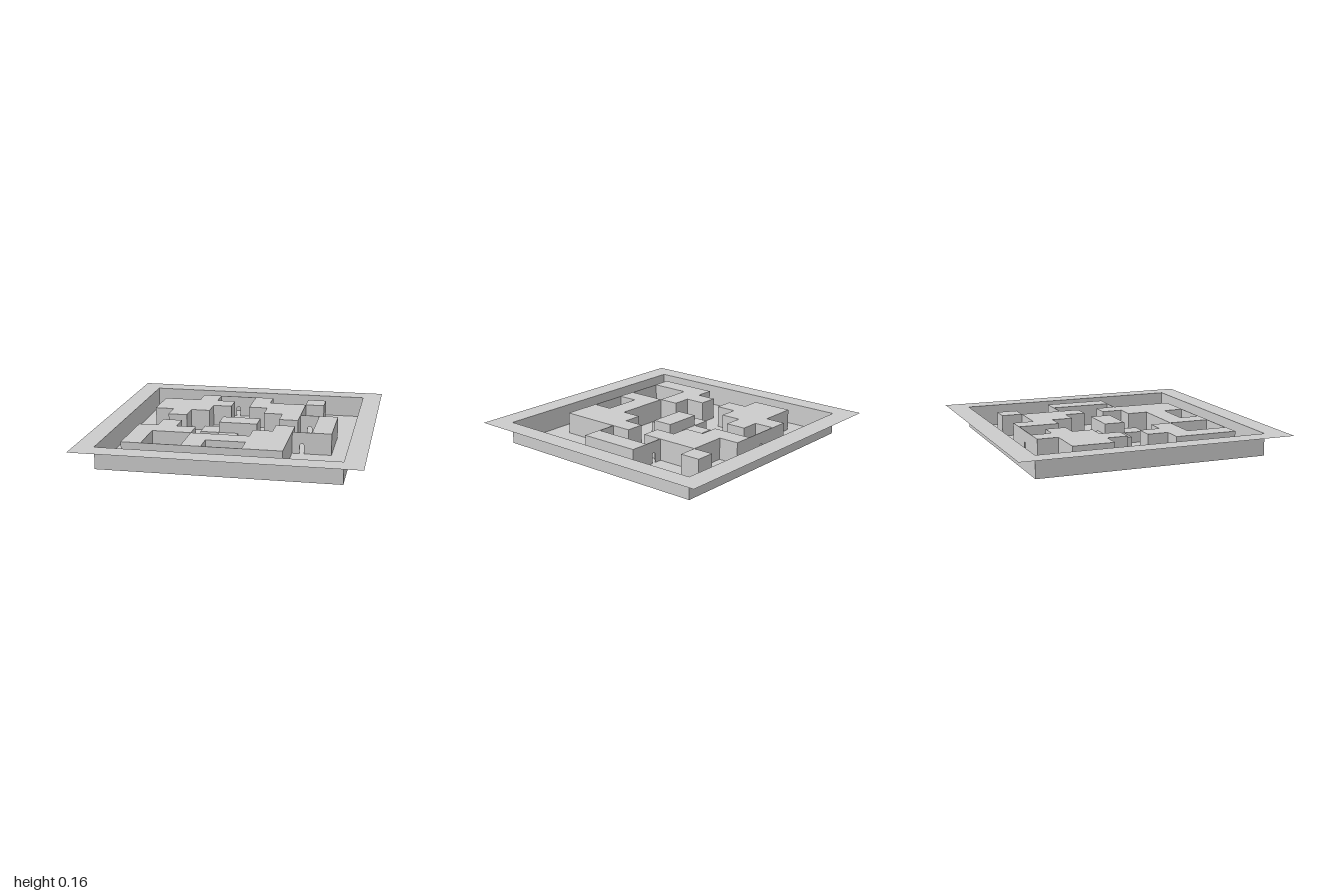
import * as THREE from 'three';
import { mergeGeometries } from 'three/addons/utils/BufferGeometryUtils.js';

// Plan of the tray, one character per cell, back row first
const PLAN = [
  'RRRRRRRRRRRRRR',
  'R............R',
  'R...#..#..#..R',
  'R.####.###...R',
  'R.###...##...R',
  'R..#..s..#.#.R',
  'R....sbb...#.R',
  'R..#..s..#.#.R',
  'R.###...##...R',
  'R.#..#####...R',
  'R.#..#..##...R',
  'R............R',
  'RRRRRRRRRRRRRR',
];
const TOP = 0.16;
const PARTS = {
  R: { name: 'rimAndOuterWall', y: TOP },
  '.': { name: 'floor', y: 0 },
  '#': { name: 'raisedBlocks', y: TOP },
  b: { name: 'centreBar', y: TOP },
  s: { name: 'lowSteps', y: 0.08 },
};
const COLS = PLAN[0].length, ROWS = PLAN.length;
const DX = 2 / COLS, DZ = 2 / ROWS;
const material = new THREE.MeshStandardMaterial({
  color: 0xcccccc, side: THREE.DoubleSide, flatShading: true,
});

// Upward-facing cap of one cell
function cap(x, y, z) {
  return new THREE.PlaneGeometry(DX, DZ).rotateX(-Math.PI / 2).translate(x, y, z);
}

// Vertical face on the cell side that points along (dx, dz)
function wall(x, z, dx, dz, low, high) {
  return new THREE.PlaneGeometry(dx ? DZ : DX, high - low)
    .rotateY(Math.atan2(dx, dz))
    .translate(x + dx * DX / 2, (low + high) / 2, z + dz * DZ / 2);
}

// All cells of one kind, with walls down to any lower neighbour
function cells(kind) {
  const { y } = PARTS[kind], faces = [];
  for (let r = 0; r < ROWS; r++) for (let c = 0; c < COLS; c++) {
    if (PLAN[r][c] !== kind) continue;
    const x = -1 + (c + 0.5) * DX, z = -1 + (r + 0.5) * DZ;
    faces.push(cap(x, y, z));
    for (const [dx, dz] of [[1, 0], [-1, 0], [0, 1], [0, -1]]) {
      const next = PLAN[r + dz]?.[c + dx];
      if (next && PARTS[next].y < y) faces.push(wall(x, z, dx, dz, PARTS[next].y, y));
    }
  }
  return mergeGeometries(faces);
}

// Thin upright panel with a small arched opening at its foot
function archedPanel(width) {
  const w = width / 2, r = 0.016, spring = 0.06;
  const s = new THREE.Shape();
  s.moveTo(-w, 0);
  s.lineTo(-r, 0);
  s.lineTo(-r, spring);
  s.absarc(0, spring, r, Math.PI, 0, true);
  s.lineTo(r, 0);
  s.lineTo(w, 0);
  s.lineTo(w, TOP);
  s.lineTo(-w, TOP);
  s.closePath();
  const depth = 0.006;
  return new THREE.ExtrudeGeometry(s, { depth, bevelEnabled: false, curveSegments: 8 })
    .translate(0, 0, -depth / 2);
}

export function createModel() {
  const model = new THREE.Group();
  model.name = 'mazeTray';

  for (const kind of Object.keys(PARTS)) {
    const mesh = new THREE.Mesh(cells(kind), material);
    mesh.name = PARTS[kind].name;
    model.add(mesh);
  }

  // Panels closing the pits: centre x, z, width in cells
  const inset = 0.003;
  const panels = [
    [-DX, -4.5 * DZ + inset, 2],
    [-3 * DX, 4.5 * DZ - inset, 2],
    [0, 4.5 * DZ - inset, 2],
    [3.5 * DX, -1.5 * DZ + inset, 1],
    [3.5 * DX, 1.5 * DZ - inset, 1],
  ];
  for (const [x, z, n] of panels) {
    const panel = new THREE.Mesh(archedPanel(n * DX), material);
    panel.name = 'archedPanel';
    panel.position.set(x, 0, z);
    model.add(panel);
  }
  return model;
}
